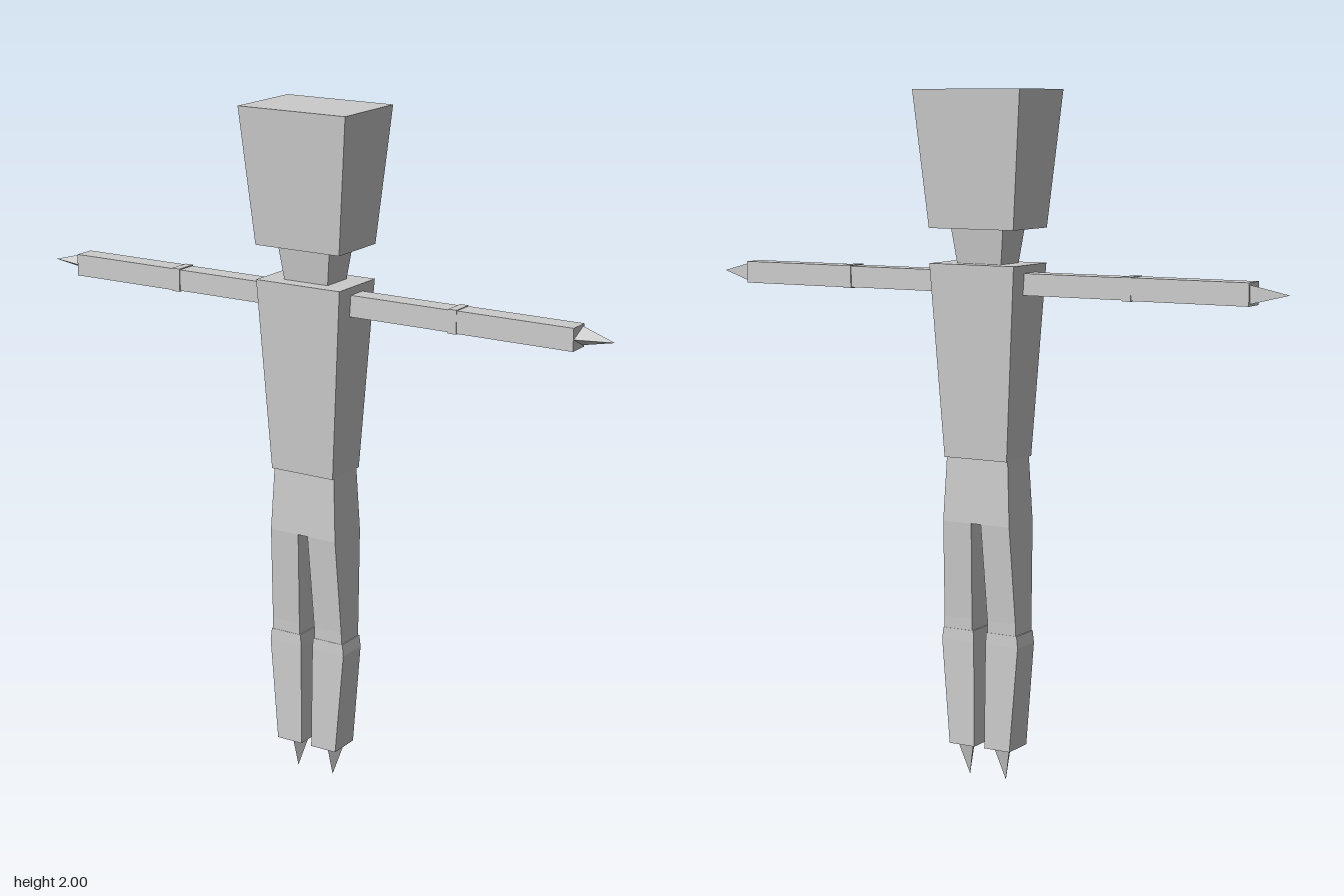
import * as THREE from 'three';

const material = new THREE.MeshStandardMaterial({ color: 0xcccccc, flatShading: true });

// Rectangular loft: rings run bottom to top as [y, xMin, xMax, halfDepth]
function loft(rings) {
  const pos = [], idx = [];
  for (const [y, a, b, d] of rings) pos.push(a, y, d, b, y, d, b, y, -d, a, y, -d);
  for (let r = 0; r < rings.length - 1; r++) {
    for (let k = 0; k < 4; k++) {
      const p = r * 4 + k, q = r * 4 + (k + 1) % 4;
      idx.push(p, q, q + 4, p, q + 4, p + 4);
    }
  }
  const t = (rings.length - 1) * 4;
  idx.push(0, 2, 1, 0, 3, 2, t, t + 1, t + 2, t, t + 2, t + 3);
  const g = new THREE.BufferGeometry();
  g.setAttribute('position', new THREE.Float32BufferAttribute(pos, 3));
  g.setIndex(idx);
  const flat = g.toNonIndexed();
  flat.computeVertexNormals();
  return flat;
}

// Centred block from [y, halfWidth, halfDepth] rings
const block = (...rings) => loft(rings.map(([y, w, d]) => [y, -w, w, d]));

// Three-sided spike with its base at y = 0 and its ridge facing the front
function spike(height) {
  const g = new THREE.ConeGeometry(0.03, height, 3).toNonIndexed();
  g.translate(0, height / 2, 0);
  const p = g.attributes.position;
  for (let i = 0; i < p.count; i++) if (p.getZ(i) < -0.005) p.setZ(i, -0.025);
  g.computeVertexNormals();
  return g;
}

export function createModel() {
  const model = new THREE.Group();
  model.name = 'figure';
  const add = (parent, name, geometry) => {
    const mesh = new THREE.Mesh(geometry, material);
    mesh.name = name;
    parent.add(mesh);
    return mesh;
  };

  // Body
  add(model, 'head', block([1.61, 0.138, 0.096], [2, 0.174, 0.125]));
  add(model, 'neck', block([1.51, 0.072, 0.05], [1.61, 0.085, 0.062]));
  add(model, 'torso', block([0.953, 0.103, 0.071], [1.51, 0.138, 0.094]));
  add(model, 'hips', block([0.765, 0.11, 0.068], [0.953, 0.101, 0.061]));

  for (const side of [1, -1]) {
    const label = side > 0 ? 'left' : 'right';
    const limb = (rings) => loft(rings.map(([y, a, b, d]) =>
      side > 0 ? [y, a, b, d] : [y, -b, -a, d]));

    // Leg
    add(model, label + 'UpperLeg', limb([[0.42, 0.026, 0.12, 0.045], [0.48, 0.026, 0.119, 0.047], [0.765, 0.016, 0.11, 0.068]]));
    add(model, label + 'LowerLeg', limb([[0.1, 0.017, 0.101, 0.05], [0.41, 0.02, 0.127, 0.048], [0.445, 0.022, 0.123, 0.047]]));
    const foot = add(model, label + 'FootSpike', spike(0.1));
    foot.rotation.z = Math.PI;
    foot.position.set(side * 0.061, 0.1, 0);

    // Arm, modelled upright and swung out sideways
    const arm = new THREE.Group();
    arm.name = label + 'Arm';
    add(arm, 'upperArm', block([0.12, 0.031, 0.031], [0.46, 0.031, 0.031]));
    add(arm, 'elbow', block([0.448, 0.034, 0.034], [0.474, 0.034, 0.034]));
    add(arm, 'forearm', block([0.46, 0.032, 0.032], [0.825, 0.032, 0.032]));
    add(arm, 'handSpike', spike(0.105)).position.y = 0.825;
    arm.rotation.z = -side * Math.PI / 2;
    arm.position.y = 1.456;
    model.add(arm);
  }
  return model;
}
